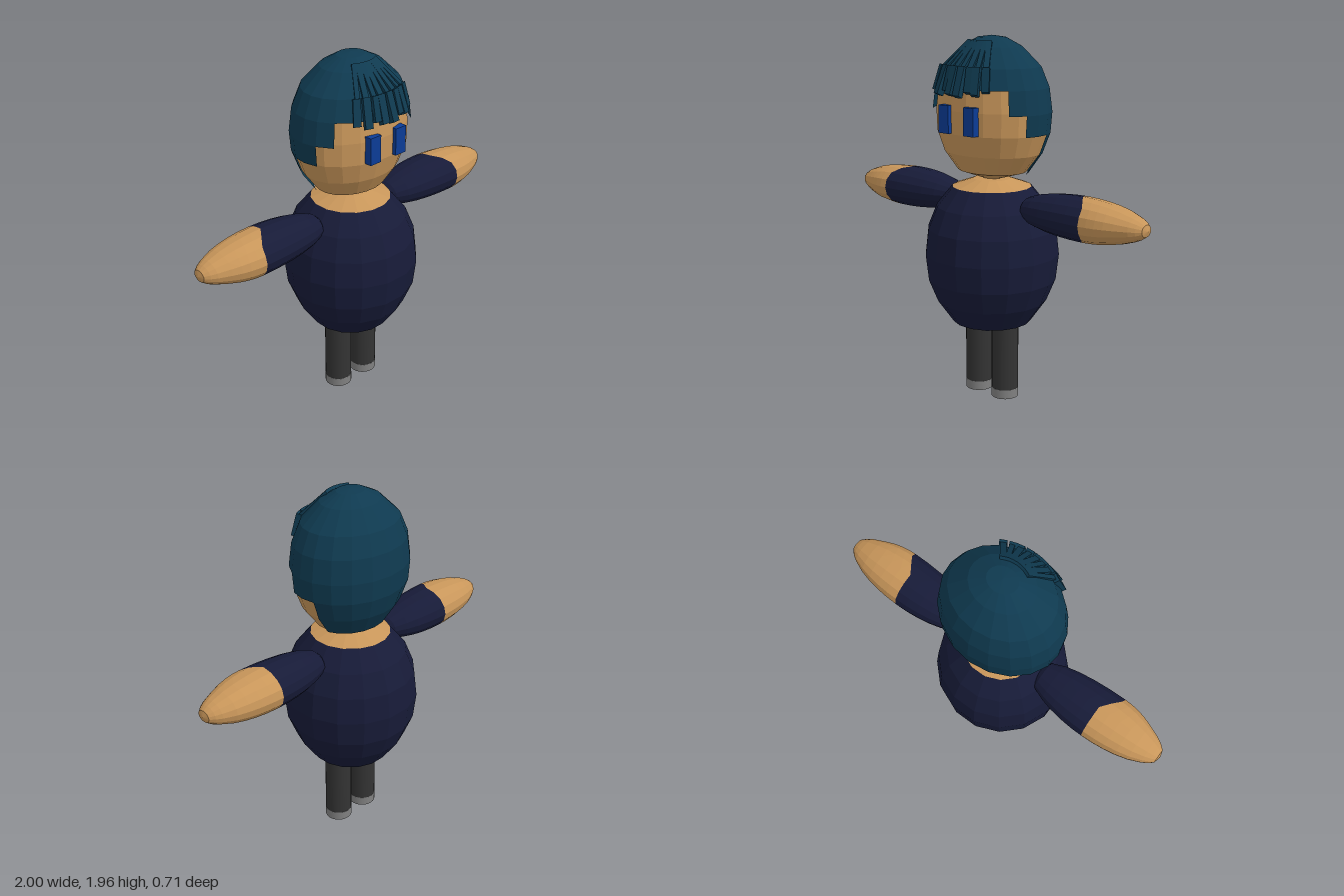
import * as THREE from 'three';

const mat = (color, flatShading = true) =>
  new THREE.MeshStandardMaterial({ color, flatShading, side: THREE.DoubleSide });
const SKIN = mat(0xc8965a), SHIRT = mat(0x171b38), HAIR = mat(0x0f3a50);
const EYE = mat(0x0c3c96), TROUSERS = mat(0x333333, false), SHOE = mat(0x808080, false);
const rad = THREE.MathUtils.degToRad;

function add(parent, name, geometry, material, x = 0, y = 0, z = 0) {
  const mesh = new THREE.Mesh(geometry, material);
  mesh.name = name;
  mesh.position.set(x, y, z);
  parent.add(mesh);
  return mesh;
}

// Turned surface from [radius, height] points; angle 0 is the front
function lathe(points, segments = 16, from = 0, to = 360) {
  const pts = points.map(([r, y]) => new THREE.Vector2(r, y));
  return new THREE.LatheGeometry(pts, segments, rad(from), rad(to - from));
}

function buildBody(root) {
  const turn = 11.25;
  const part = (name, pts, m) => add(root, name, lathe(pts, 16, turn, 360 + turn), m);
  part('hips', [[0, 0.385], [0.1, 0.392], [0.213, 0.42]], mat(0x222222));
  part('torso', [[0.213, 0.42], [0.298, 0.54], [0.347, 0.66], [0.363, 0.8],
    [0.347, 0.94], [0.298, 1.06], [0.213, 1.165]], SHIRT);
  part('neck', [[0.213, 1.165], [0.1, 1.205], [0, 1.212]], SKIN);
}

function buildLegs(root) {
  for (const [side, s] of [['left', 1], ['right', -1]]) {
    add(root, side + 'Leg', new THREE.CylinderGeometry(0.073, 0.073, 0.37, 24), TROUSERS, s * 0.096, 0.235);
    add(root, side + 'Shoe', new THREE.CylinderGeometry(0.074, 0.074, 0.05, 24), SHOE, s * 0.096, 0.025);
  }
}

// Part of a long ellipsoid along x; the cuff ring is pushed outwards at the front
function armPart(x0, x1, cuffX) {
  const pts = [], n = 6;
  for (let i = 0; i <= n; i++) {
    const x = x0 + (x1 - x0) * (i / n);
    const bend = Math.abs(x - 0.6) / 0.4;
    pts.push([Math.sqrt(Math.max(0, 1 - bend * bend)), x]);
  }
  if (x1 >= 1) pts.splice(n, 0, [0.42, 0.965], [0.27, 0.99]);
  const g = lathe(pts, 16).rotateZ(-Math.PI / 2);
  const p = g.attributes.position;
  for (let i = 0; i < p.count; i++) {
    const x = p.getX(i), z = p.getZ(i);
    const near = Math.max(0, 1 - Math.abs(x - cuffX) / 0.25);
    p.setX(i, x + 0.08 * near * Math.min(1, Math.max(0, z * 1.3)));
  }
  g.scale(1, 0.113, 0.146);
  return g;
}

function buildArms(root) {
  for (const [side, s] of [['left', 1], ['right', -1]]) {
    const arm = new THREE.Group();
    arm.name = side + 'Arm';
    arm.position.y = 1.078;
    arm.scale.x = s;
    add(arm, side + 'Sleeve', armPart(0.2, 0.61, 0.61), SHIRT);
    add(arm, side + 'Hand', armPart(0.61, 1, 0.61), SKIN);
    root.add(arm);
  }
}

function buildHead(root) {
  const skull = lathe([[0, 1.205], [0.05, 1.207], [0.2, 1.25], [0.278, 1.35], [0.32, 1.46],
    [0.325, 1.58], [0.308, 1.7], [0.262, 1.8], [0.155, 1.9], [0, 1.94]], 20, 9, 369);
  add(root, 'head', skull.scale(1, 1, 0.79), SKIN);
  for (const [side, s] of [['left', 1], ['right', -1]])
    add(root, side + 'Eye', new THREE.BoxGeometry(0.07, 0.145, 0.07), EYE, s * 0.087, 1.537, 0.238);
}

function buildHair(root) {
  const hair = new THREE.Group();
  hair.name = 'hair';
  hair.scale.z = 0.83;
  root.add(hair);

  // Cap: lower the further back it goes
  const profile = [[0.208, 1.242], [0.286, 1.35], [0.329, 1.46], [0.338, 1.57], [0.321, 1.695],
    [0.275, 1.8], [0.17, 1.9], [0.08, 1.945], [0, 1.955]];
  const panels = [
    ['frontHair', -53, 53, 4, 6], ['backHair', 103, 257, 0, 8],
    ['leftTempleHair', 53, 71, 3, 1], ['rightTempleHair', -71, -53, 3, 1],
    ['leftSideHair', 71, 103, 2, 2], ['rightSideHair', -103, -71, 2, 2],
  ];
  for (const [name, from, to, start, segments] of panels)
    add(hair, name, lathe(profile.slice(start), segments, from, to), HAIR);

  // Fringe: radiating strands of two overlapping slats each
  const slat = (name, angle, [r0, y0], [r1, y1], width, thick) => {
    const pivot = new THREE.Group();
    pivot.name = name;
    pivot.rotation.y = rad(angle);
    const g = new THREE.BoxGeometry(width, Math.hypot(r1 - r0, y1 - y0), thick);
    const m = add(pivot, name + 'Slat', g, HAIR, 0, (y0 + y1) / 2, (r0 + r1) / 2);
    m.rotation.x = -Math.atan2(r1 - r0, y0 - y1);
    hair.add(pivot);
  };
  [-31, -22, -13, -5, 4, 13, 22, 31].forEach((angle, i) => {
    const drop = [0.015, 0, 0.02, 0.005, 0, 0.02, 0.01, 0.025][i];
    slat('upperFringe', angle, [0.13, 1.925], [0.285, 1.795], 0.026 + 0.006 * (i % 2), 0.025);
    slat('lowerFringe', angle + (i % 3) - 1, [0.285, 1.805], [0.345 - drop, 1.66 + drop], 0.042, 0.04);
  });
}

export function createModel() {
  const root = new THREE.Group();
  root.name = 'figure';
  buildBody(root);
  buildLegs(root);
  buildArms(root);
  buildHead(root);
  buildHair(root);
  return root;
}
